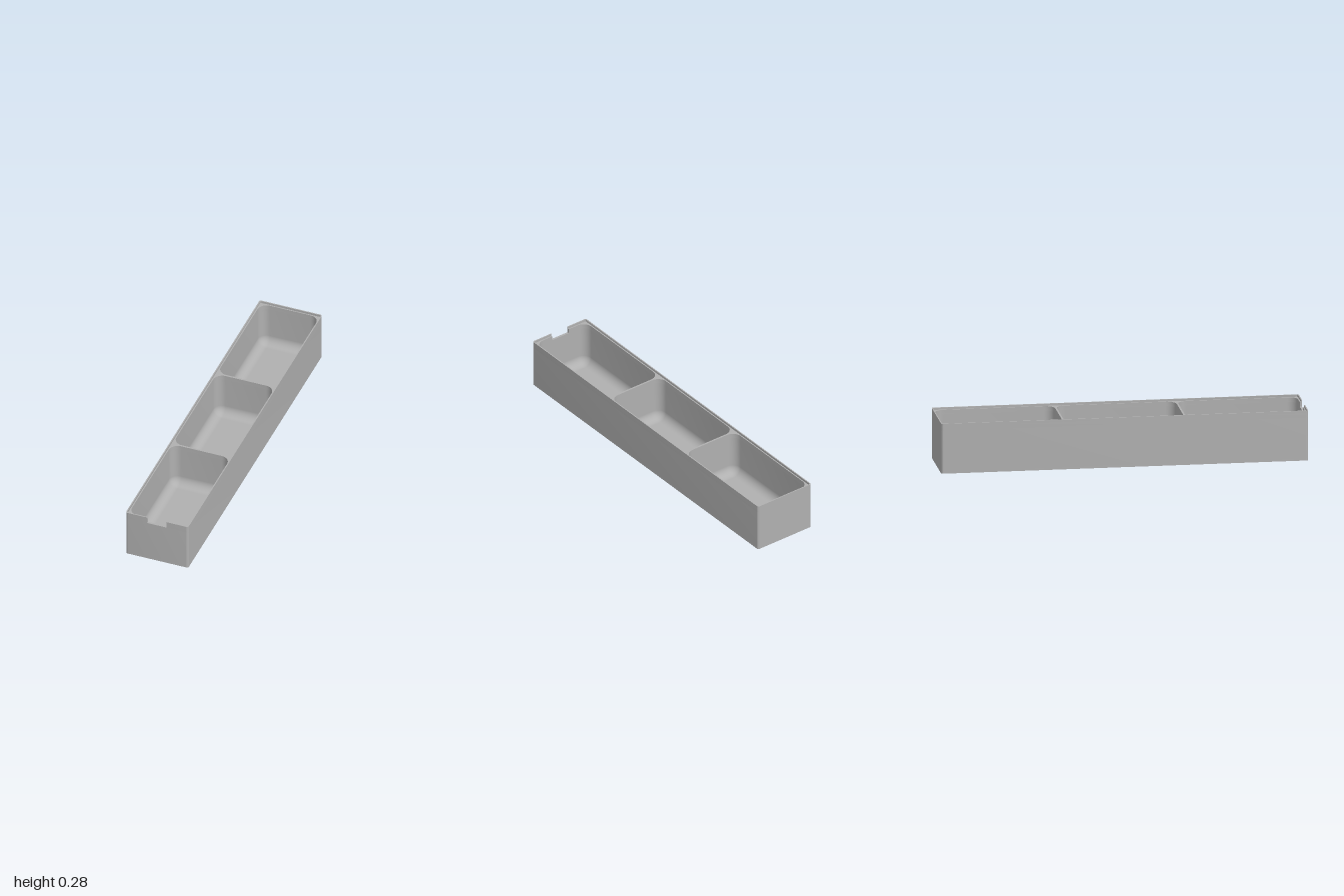
import * as THREE from 'three';
import { toCreasedNormals } from 'three/addons/utils/BufferGeometryUtils.js';

const W = 0.181, L = 1, H = 0.277;      // half width, half length, height
const WALL = 0.012, LIP = 0.006;        // wall and lip thickness
const FLOOR = 0.012, LEDGE = 0.265;     // floor top and ledge height
const NOTCH = 0.056, NOTCH_Y = 0.24;    // notch half width and bottom
const FILLET = 0.05;

// Rounded rectangle in (x, z), from the front-left corner round to the front-right;
// each point remembers the outward angle of its edge.
function roundedRect(x0, x1, z0, z1, r, n = 8) {
  const corners = [[x0 + r, z1 - r], [x0 + r, z0 + r], [x1 - r, z0 + r], [x1 - r, z1 - r]];
  const pts = [];
  corners.forEach(([cx, cz], k) => {
    for (let i = 0; i <= n; i++) {
      const a = (k + 1 + i / n) * Math.PI / 2;
      const p = new THREE.Vector2(cx + r * Math.cos(a), cz + r * Math.sin(a));
      p.angle = a;
      pts.push(p);
    }
  });
  return pts;
}

// Ring between two outlines, cut open by the notch at the front
function notchedRing(outer, inner) {
  const zo = outer[0].y, zi = inner[0].y;
  const v = (x, z) => new THREE.Vector2(x, z);
  return [v(-NOTCH, zo), ...outer, v(NOTCH, zo), v(NOTCH, zi), ...[...inner].reverse(), v(-NOTCH, zi)];
}

// Upright slab between two heights
function slab(outline, holes, y0, y1) {
  const shape = new THREE.Shape(outline);
  shape.holes = holes.map(h => new THREE.Path(h));
  const g = new THREE.ExtrudeGeometry(shape, { depth: y1 - y0, bevelEnabled: false });
  g.rotateX(Math.PI / 2).translate(0, y1, 0);
  return toCreasedNormals(g, 0.6);
}

// Concave quarter-round between compartment walls and floor
function filletGeometry(outline, steps = 10) {
  const pos = [], nor = [], idx = [], n = outline.length;
  for (let j = 0; j <= steps; j++) {
    const a = j / steps * Math.PI / 2;
    const inset = FILLET * (1 - Math.cos(a)), y = FLOOR + FILLET * (1 - Math.sin(a));
    outline.forEach((p, i) => {
      const c = Math.cos(p.angle), s = Math.sin(p.angle);
      pos.push(p.x - c * inset, y, p.y - s * inset);
      nor.push(-c * Math.cos(a), Math.sin(a), -s * Math.cos(a));
      if (j < steps) {
        const k = j * n + i, m = j * n + (i + 1) % n;
        idx.push(k, k + n, m, m, k + n, m + n);
      }
    });
  }
  const g = new THREE.BufferGeometry();
  g.setAttribute('position', new THREE.Float32BufferAttribute(pos, 3));
  g.setAttribute('normal', new THREE.Float32BufferAttribute(nor, 3));
  g.setIndex(idx);
  return g;
}

export function createModel() {
  const model = new THREE.Group();
  model.name = 'compartmentTray';
  const grey = new THREE.MeshStandardMaterial({ color: 0xb0b0b0 });
  grey.name = 'grey';
  const add = (name, geometry) => {
    const mesh = new THREE.Mesh(geometry, grey);
    mesh.name = name;
    model.add(mesh);
  };

  const outer = roundedRect(-W, W, -L, L, 0.012);
  const lipInner = roundedRect(-W + LIP, W - LIP, -L + LIP, L - LIP, 0.008);
  const cells = [[-0.988, -0.336], [-0.326, 0.326], [0.336, 0.988]].map(
    ([z0, z1]) => roundedRect(-W + WALL, W - WALL, z0, z1, 0.052));

  add('floor', slab(outer, [], 0, FLOOR));
  add('walls', slab(outer, cells, FLOOR, NOTCH_Y));
  // Upper walls and dividers, open at the notch
  add('upperWalls', slab(notchedRing(outer, cells[2]), cells.slice(0, 2), NOTCH_Y, LEDGE));
  // Thin raised rim above the ledge
  add('lip', slab(notchedRing(outer, lipInner), [], LEDGE, H));
  cells.forEach((cell, i) => add('floorFillet' + (i + 1), filletGeometry(cell)));

  return model;
}
